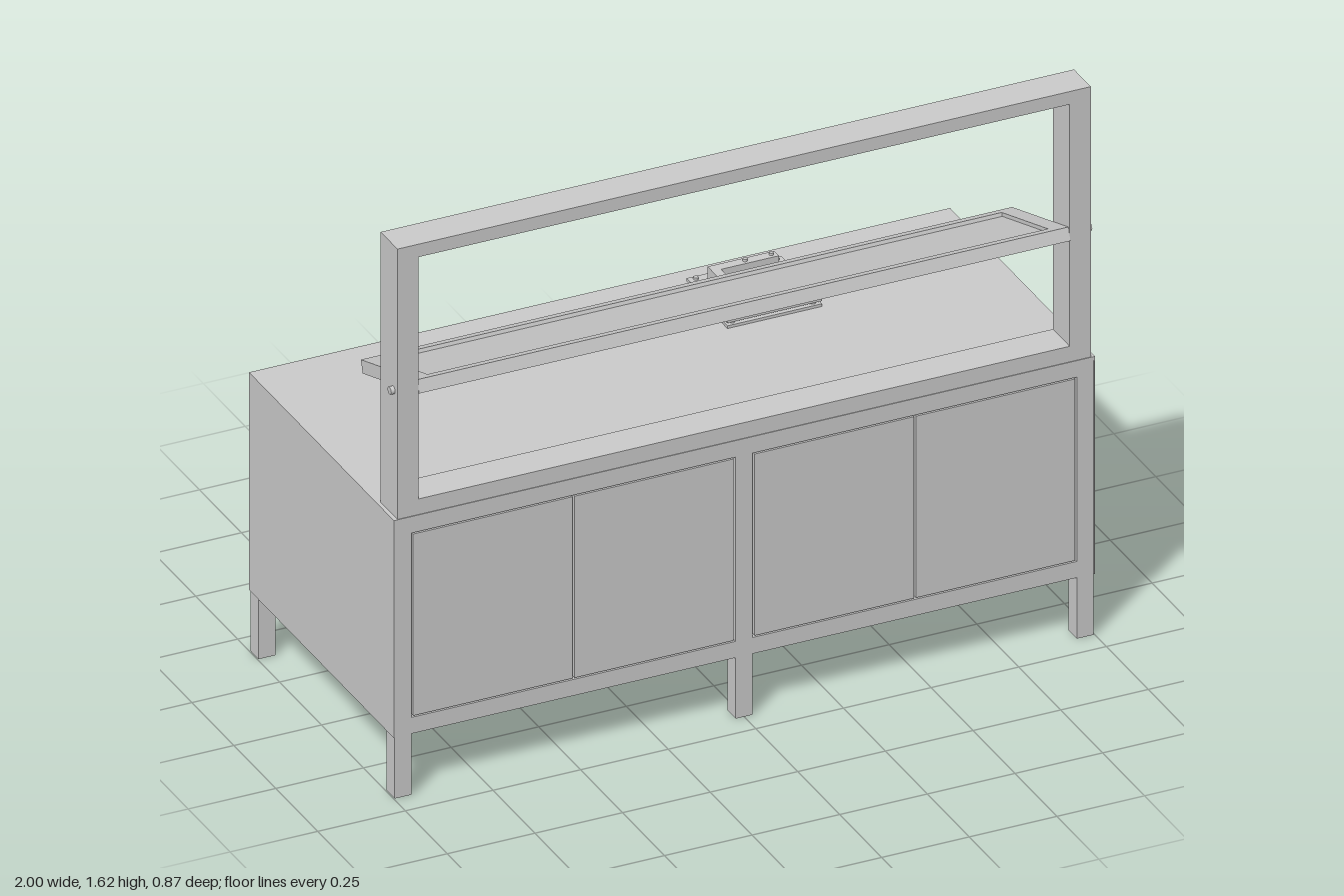
import * as THREE from 'three';

const grey = new THREE.MeshStandardMaterial({ color: 0xcccccc });

function add(parent, name, geometry) {
  const mesh = new THREE.Mesh(geometry, grey);
  mesh.name = name;
  parent.add(mesh);
  return mesh;
}

// Box given by its min and max on each axis
function box(parent, name, x0, x1, y0, y1, z0, z1) {
  const mesh = add(parent, name, new THREE.BoxGeometry(x1 - x0, y1 - y0, z1 - z0));
  mesh.position.set((x0 + x1) / 2, (y0 + y1) / 2, (z0 + z1) / 2);
  return mesh;
}

function cylinder(parent, name, radius, height, x, y, z, sides = 16) {
  const mesh = add(parent, name, new THREE.CylinderGeometry(radius, radius, height, sides));
  mesh.position.set(x, y, z);
  return mesh;
}

function rect(path, h) {
  return path.moveTo(-h, -h).lineTo(h, -h).lineTo(h, h).lineTo(-h, h).closePath();
}

// Hollow square tube, open at the foot
function tubeLeg(parent, x, z, height) {
  const shape = rect(new THREE.Shape(), 0.024);
  shape.holes.push(rect(new THREE.Path(), 0.02));
  const geometry = new THREE.ExtrudeGeometry(shape, { depth: height, bevelEnabled: false });
  geometry.rotateX(-Math.PI / 2);
  add(parent, 'leg', geometry).position.set(x, 0, z);
}

function buildBench() {
  const bench = new THREE.Group();
  bench.name = 'bench';
  // Legs
  for (const x of [-0.973, 0, 0.973])
    for (const z of [-0.406, 0.406]) tubeLeg(bench, x, z, 0.812);
  // Long rails
  for (const s of [-1, 1]) {
    const [a, b] = s < 0 ? [-0.43, -0.382] : [0.382, 0.43];
    for (const [x0, x1] of [[-0.949, -0.024], [0.024, 0.949]]) {
      box(bench, 'lowerLongRail', x0, x1, 0.18, 0.228, a, b);
      box(bench, 'upperLongRail', x0, x1, 0.772, 0.812, a, b);
    }
  }
  // Cross rails
  for (const x of [-0.973, 0, 0.973])
    box(bench, 'lowerCrossRail', x - 0.024, x + 0.024, 0.18, 0.228, -0.382, 0.382);
  for (const x of [-0.973, -0.487, 0, 0.487, 0.973])
    box(bench, 'upperCrossRail', x - 0.024, x + 0.024, 0.772, 0.812, -0.382, 0.382);
  // Worktop and side panels
  box(bench, 'worktop', -1, 1, 0.811, 0.822, -0.432, 0.432);
  for (const s of [-1, 1])
    box(bench, 'sidePanel', s * 0.9985 - 0.0015, s * 0.9985 + 0.0015, 0.18, 0.812, -0.432, 0.432);
  // Four front doors
  for (const s of [-1, 1])
    for (const cx of [0.257, 0.717])
      box(bench, 'door', s * cx - 0.227, s * cx + 0.227, 0.232, 0.768, 0.41, 0.43);
  return bench;
}

function buildUpperFrame() {
  const frame = new THREE.Group();
  frame.name = 'upperFrame';
  for (const s of [-1, 1]) {
    box(frame, 'post', s * 0.959 - 0.03, s * 0.959 + 0.03, 0.822, 1.582, 0.33, 0.43);
    const knob = cylinder(frame, 'pivotBolt', 0.011, 0.012, s * 0.994, 1.192, 0.405, 20);
    knob.rotation.z = Math.PI / 2;
  }
  box(frame, 'topBeam', -0.989, 0.989, 1.582, 1.62, 0.33, 0.43);
  box(frame, 'bottomBeam', -0.929, 0.929, 0.822, 0.868, 0.33, 0.43);
  return frame;
}

// Tilted tray with a raised rim
function buildTray() {
  const tray = new THREE.Group();
  tray.name = 'tiltedTray';
  const w = 0.929, h = 0.0185, d = 0.177;
  box(tray, 'trayFloor', -0.885, 0.885, -h, 0.008, -d + 0.032, d - 0.032);
  for (const s of [-1, 1]) {
    box(tray, 'trayEndRim', s * 0.907 - 0.022, s * 0.907 + 0.022, -h, h, -d, d);
    box(tray, 'trayLongRim', -0.885, 0.885, -h, h, s * (d - 0.016) - 0.016, s * (d - 0.016) + 0.016);
  }
  tray.position.set(0, 1.143, 0.26);
  tray.rotation.x = -0.32;
  return tray;
}

// Small fixture: two stacked plates with an L-shaped stop
function buildFixture() {
  const fixture = new THREE.Group();
  fixture.name = 'fixture';
  box(fixture, 'basePlate', 0.21, 0.48, 0.822, 0.83, -0.352, -0.108);
  box(fixture, 'spacer', 0.31, 0.38, 0.83, 0.838, -0.265, -0.195);
  box(fixture, 'upperPlate', 0.21, 0.48, 0.838, 0.847, -0.352, -0.108);
  for (const x of [0.23, 0.46])
    for (const z of [-0.338, -0.122]) cylinder(fixture, 'plateScrew', 0.007, 0.03, x, 0.838, z);
  const stop = new THREE.Shape();
  [[0.25, 0.15], [0.275, 0.15], [0.275, 0.282], [0.44, 0.282], [0.44, 0.31], [0.25, 0.31]]
    .forEach(([x, y], i) => (i ? stop.lineTo(x, y) : stop.moveTo(x, y)));
  const geometry = new THREE.ExtrudeGeometry(stop, { depth: 0.046, bevelEnabled: false });
  geometry.rotateX(-Math.PI / 2);
  add(fixture, 'cornerStop', geometry).position.y = 0.847;
  for (const [x, z] of [[0.262, -0.17], [0.35, -0.296], [0.425, -0.296]])
    cylinder(fixture, 'stopScrew', 0.006, 0.008, x, 0.896, z);
  return fixture;
}

export function createModel() {
  const model = new THREE.Group();
  model.name = 'workbench';
  model.add(buildBench(), buildUpperFrame(), buildTray(), buildFixture());
  return model;
}
